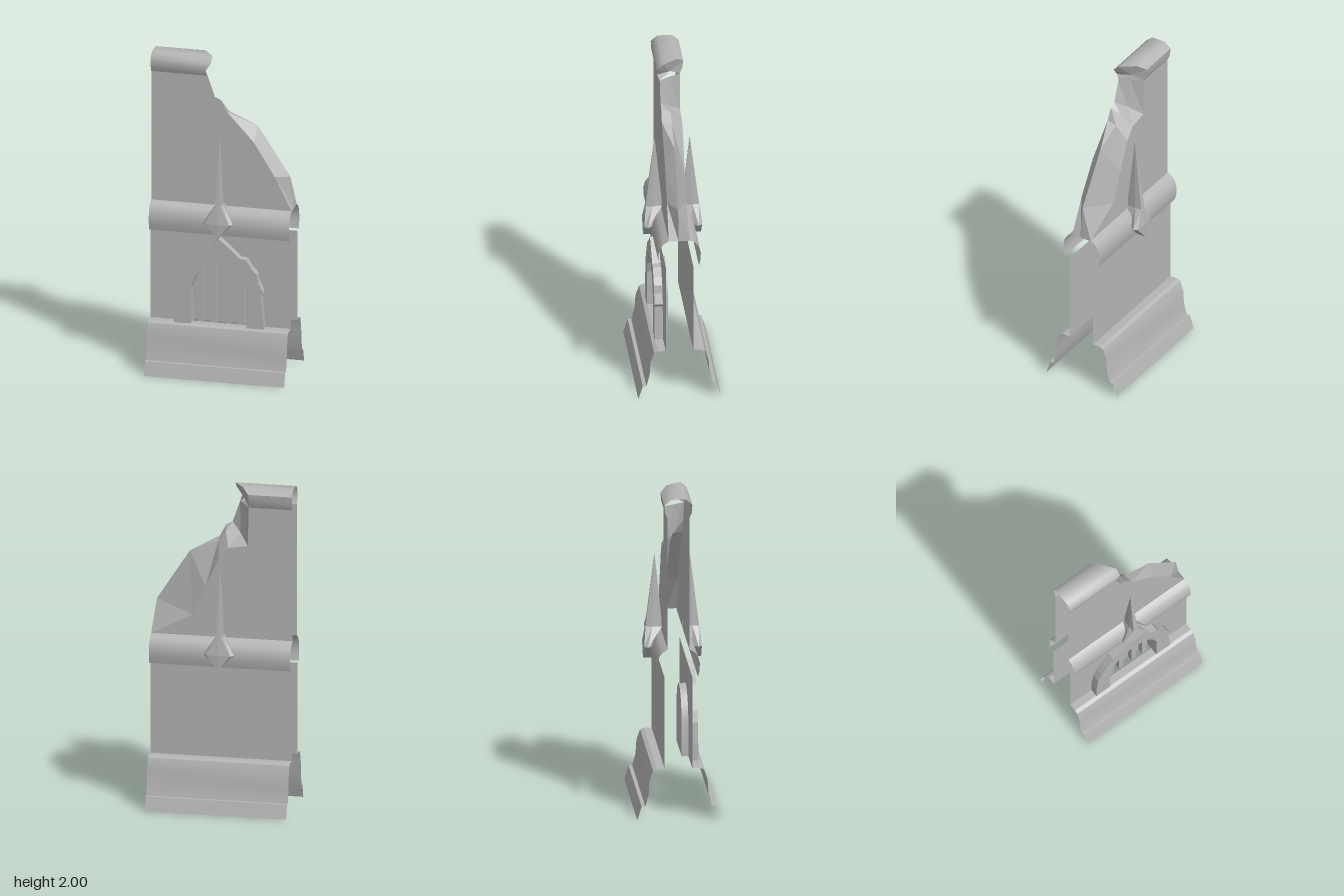
import * as THREE from 'three';
import { toCreasedNormals } from 'three/addons/utils/BufferGeometryUtils.js';

const stone = new THREE.MeshStandardMaterial({ color: 0xb4b4b4, side: THREE.DoubleSide });
stone.name = 'stone grey';

const HALF = 0.433;   // half length of the wall
const WALL = 0.065;   // half thickness, upper wall
const LOWER = 0.083;  // half thickness, lower wall

function part(name, geometry) {
  const mesh = new THREE.Mesh(geometry, stone);
  mesh.name = name;
  return mesh;
}

// Surface through rows of [x, y, z] points
function loft(rows, crease = 0.6, closed = false) {
  const pos = [];
  const n = rows[0].length;
  for (let i = 0; i < rows.length - 1; i++) {
    for (let j = 0; j < (closed ? n : n - 1); j++) {
      const k = (j + 1) % n;
      const [a, b, c, d] = [rows[i][j], rows[i][k], rows[i + 1][k], rows[i + 1][j]];
      pos.push(...a, ...b, ...c, ...a, ...c, ...d);
    }
  }
  const g = new THREE.BufferGeometry();
  g.setAttribute('position', new THREE.Float32BufferAttribute(pos, 3));
  g.computeVertexNormals();
  return crease ? toCreasedNormals(g, crease) : g;
}

// Moulding: a [y, z] profile, top to bottom, swept along the wall
const moulding = (profile, crease) =>
  loft([-HALF, HALF].map(x => profile.map(([y, z]) => [x, y, z])), crease);

const shapeOf = pts => new THREE.Shape(pts.map(p => new THREE.Vector2(p[0], p[1])));

const plate = (pts, z) => new THREE.ShapeGeometry(shapeOf(pts)).translate(0, 0, z);

// Broken upper edge: front, middle and back outlines
const edgeFront = [[-0.085, 1.88], [-0.04, 1.75], [0, 1.73], [0.035, 1.66], [0.2, 1.48], [0.33, 1.27], [HALF, 1.06]];
const edgeMiddle = [[-0.125, 1.88], [-0.1, 1.7], [-0.01, 1.7], [0.035, 1.645], [0.21, 1.57], [0.412, 1.26], [HALF, 1.06]];
const edgeBack = [[-0.165, 1.88], [-0.16, 1.64], [-0.04, 1.62], [0.02, 1.55], [0.1, 1.37], [0.18, 1.19], [HALF, 1.06]];

// Pointed arch opening, right foot over the top to the left foot
const arch = [[0.172, 0.315], [0.172, 0.54], [0.15, 0.61], [0.115, 0.665], [0.06, 0.705], [0, 0.72],
  [-0.06, 0.705], [-0.115, 0.665], [-0.15, 0.61], [-0.172, 0.54], [-0.172, 0.315]];

// Chipped outer outline of the arch surround
const surround = [[-0.275, 0.315], [-0.275, 0.42], [-0.262, 0.55], [-0.235, 0.62], [-0.2, 0.68], [-0.15, 0.755],
  [-0.1, 0.79], [-0.05, 0.825], [0, 0.87], [0.06, 0.82], [0.13, 0.755], [0.17, 0.75], [0.2, 0.7],
  [0.235, 0.66], [0.245, 0.61], [0.272, 0.55], [0.258, 0.53], [0.28, 0.315]];

// Mouldings, lower wall and spike shared by both faces
function buildFace(name) {
  const face = new THREE.Group();
  face.name = name;
  face.add(part('cornice', moulding(
    [[1.062, WALL], [1.045, 0.095], [1.015, 0.117], [0.975, 0.128], [0.93, 0.127], [0.888, 0.117]], 0.9)));
  face.add(part('plinth', moulding(
    [[0.318, LOWER], [0.318, 0.13], [0.308, 0.153], [0.245, 0.175], [0.16, 0.18],
      [0.085, 0.2], [0.085, 0.222], [0, 0.248]], 0.3)));

  // Spike: [y, half width, back z, front z] with bevelled front edges
  const rings = [[0.888, 0.003, 0.12, 0.175], [0.975, 0.093, 0.115, 0.178], [1.085, 0.022, 0.06, 0.162], [1.53, 0.001, 0.104, 0.108]];
  const rows = rings.map(([y, w, zb, zf]) => {
    const zs = zf - (zf - zb) * 0.4;
    return [[-w, y, zs], [-w * 0.8, y, zf - w * 0.05], [0, y, zf], [w * 0.8, y, zf - w * 0.05],
      [w, y, zs], [w * 0.7, y, zb], [-w * 0.7, y, zb]];
  });
  face.add(part('spike', loft(rows, 0, true)));
  return face;
}

export function createModel() {
  const model = new THREE.Group();
  model.name = 'ruinedWall';

  const front = buildFace('frontFace');
  const back = buildFace('backFace');
  back.rotation.y = Math.PI;
  model.add(front, back);

  // Upper wall sheets
  const foot = [[HALF, 1.06], [-HALF, 1.06], [-HALF, 1.88]];
  const upperFront = [...edgeFront.slice(0, -1), ...foot];
  const upperBack = [...edgeBack.slice(0, -1), ...foot].map(([x, y]) => [-x, y]);
  front.add(part('upperWall', plate(upperFront, WALL)));
  back.add(part('upperWall', plate(upperBack, WALL)));

  // Broken stone between the two sheets
  const at = (pts, z) => pts.map(([x, y]) => [x, y, z]);
  model.add(part('brokenEdge', loft([at(edgeFront, WALL), at(edgeMiddle, 0.006), at(edgeBack, -WALL)], 0)));

  // Coping with a slanted broken end: [z, y, end x]
  const coping = [[-0.065, 1.88, -0.165], [-0.08, 1.915, -0.17], [-0.085, 1.965, -0.165], [-0.045, 2, -0.125],
    [0.045, 2, -0.06], [0.083, 1.965, -0.06], [0.08, 1.915, -0.095], [0.065, 1.88, -0.085]];
  const start = coping.map(([z, y]) => [-HALF, y, z]);
  const end = coping.map(([z, y, x]) => [x, y, z]);
  model.add(part('coping', loft([start, end], 0.9)));
  model.add(part('copingBreak', loft([end, end.map(() => [-0.125, 1.92, 0])], 0)));

  // Lower wall: arch cut into the front, plain at the back
  const top = [[HALF, 0.885], [-HALF, 0.885]];
  front.add(part('lowerWall', plate([[-HALF, 0.315], ...[...arch].reverse(), [HALF, 0.315], ...top], LOWER)));
  back.add(part('lowerWall', plate([[-HALF, 0.315], [HALF, 0.315], ...top], LOWER)));

  // Niche
  front.add(part('nicheSides', loft([at(arch, LOWER), at(arch, 0.042)])));
  front.add(part('nicheBack', plate(arch, 0.042)));

  // Window bars, each cut to the arch above it
  const archHeight = x => {
    const i = arch.findIndex((p, k) => k > 0 && k < 9 && x <= p[0] && x >= arch[k + 1][0]);
    const [p, q] = [arch[i], arch[i + 1]];
    return p[1] + (q[1] - p[1]) * (p[0] - x) / (p[0] - q[0]);
  };
  for (const [a, b] of [[-0.143, -0.106], [-0.064, -0.03], [0.03, 0.064], [0.106, 0.143]]) {
    const outline = [[a, 0.315], [b, 0.315], [b, archHeight(b)], [a, archHeight(a)]];
    const bar = new THREE.ExtrudeGeometry(shapeOf(outline), { depth: 0.034, bevelEnabled: false });
    front.add(part('windowBar', bar.translate(0, 0, 0.042)));
  }

  // Arch surround
  const frame = new THREE.ExtrudeGeometry(shapeOf([...surround, ...arch]), { depth: 0.05, bevelEnabled: false });
  front.add(part('archSurround', frame.translate(0, 0, LOWER)));

  return model;
}
